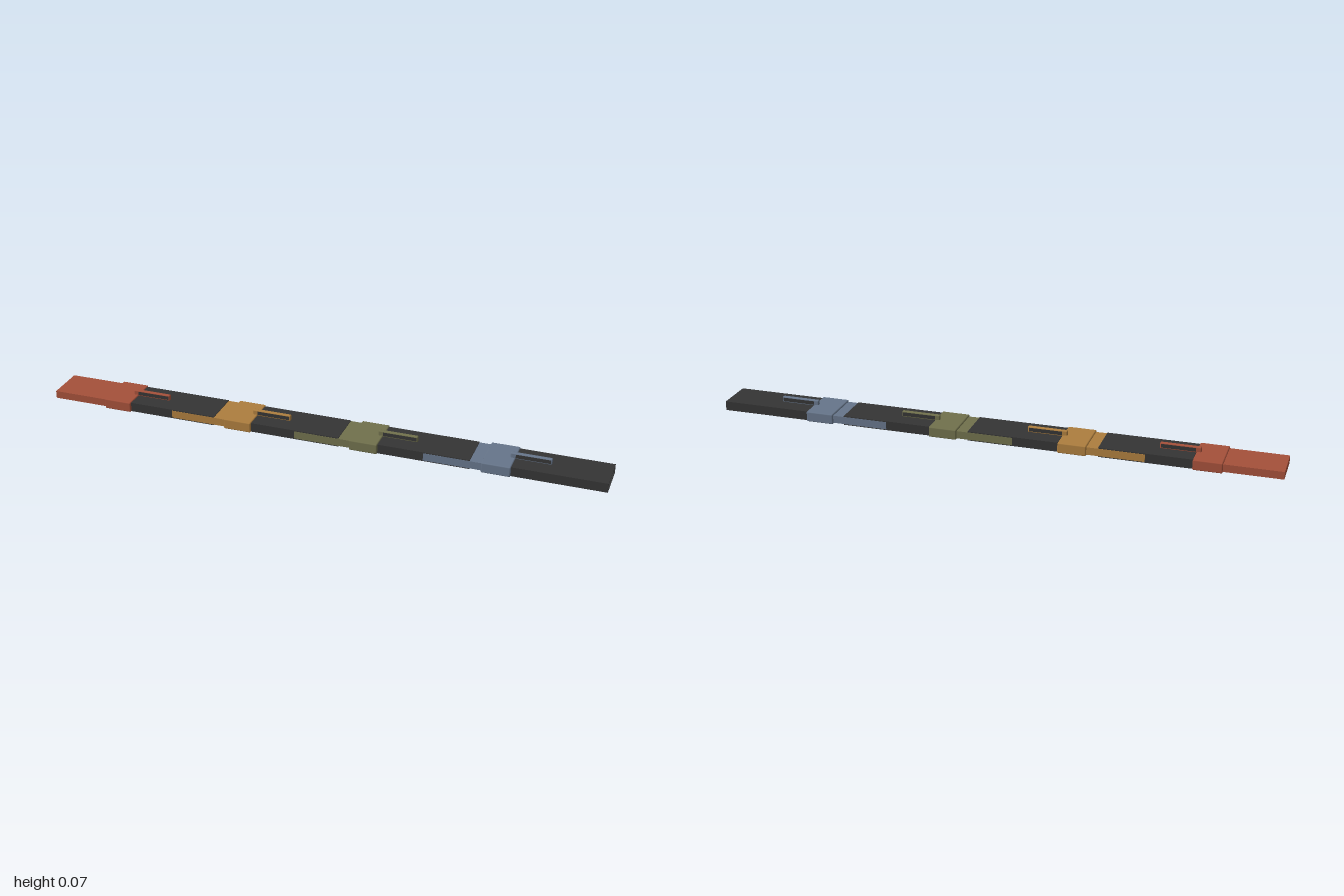
import * as THREE from 'three';
import { RoundedBoxGeometry } from 'three/addons/geometries/RoundedBoxGeometry.js';

const material = (name, color) => {
  const m = new THREE.MeshStandardMaterial({ color });
  m.name = name;
  return m;
};

const MID = 0.038; // height of the centre line

export function createModel() {
  const group = new THREE.Group();
  const black = material('black', 0x343434);
  const colours = [
    material('red', 0xa4503a),
    material('ochre', 0xac7d3e),
    material('olive', 0x70704c),
    material('slate blue', 0x66758a),
  ];

  const add = (parent, name, geometry, mat, x, y, z = 0) => {
    const mesh = new THREE.Mesh(geometry, mat);
    mesh.name = name;
    mesh.position.set(x, y, z);
    parent.add(mesh);
  };

  // Open-ended flat sleeve: rectangular tube running along x
  const rect = (path, w, h) => {
    path.moveTo(-w, -h);
    path.lineTo(w, -h);
    path.lineTo(w, h);
    path.lineTo(-w, h);
    path.closePath();
    return path;
  };
  const profile = rect(new THREE.Shape(), 0.068, 0.0165);
  profile.holes.push(rect(new THREE.Path(), 0.0645, 0.0142));
  const sleeve = new THREE.ExtrudeGeometry(profile, { depth: 0.32, bevelEnabled: false });
  sleeve.rotateY(Math.PI / 2);

  const tongue = new THREE.BoxGeometry(0.2, 0.027, 0.138);
  const collar = new RoundedBoxGeometry(0.1, 0.037, 0.152, 1, 0.004);
  const floor = new THREE.BoxGeometry(0.01, 0.03, 0.132);
  const fin = new RoundedBoxGeometry(0.14, 0.022, 0.014, 2, 0.004);
  const finPlate = new THREE.BoxGeometry(0.118, 0.013, 0.001);

  // Four linked units, each tongue sliding into the sleeve before it
  colours.forEach((colour, i) => {
    const unit = new THREE.Group();
    unit.name = 'linkUnit' + (i + 1);
    unit.position.x = -1 + i * 0.46;
    group.add(unit);

    add(unit, 'tongue', tongue, colour, 0.1, MID);
    add(unit, 'collar', collar, colour, 0.25, MID + 0.0005);
    add(unit, 'sleeve', sleeve, black, 0.3, MID);
    add(unit, 'sleeveFloor', floor, black, 0.305, MID);

    // Narrow fins above and below the sleeve
    add(unit, 'upperFin', fin, colour, 0.353, 0.063);
    add(unit, 'lowerFin', fin, colour, 0.353, 0.013);
    for (const side of [-1, 1]) {
      add(unit, 'upperFinPlate', finPlate, black, 0.36, 0.0635, side * 0.007);
    }
  });

  return group;
}
